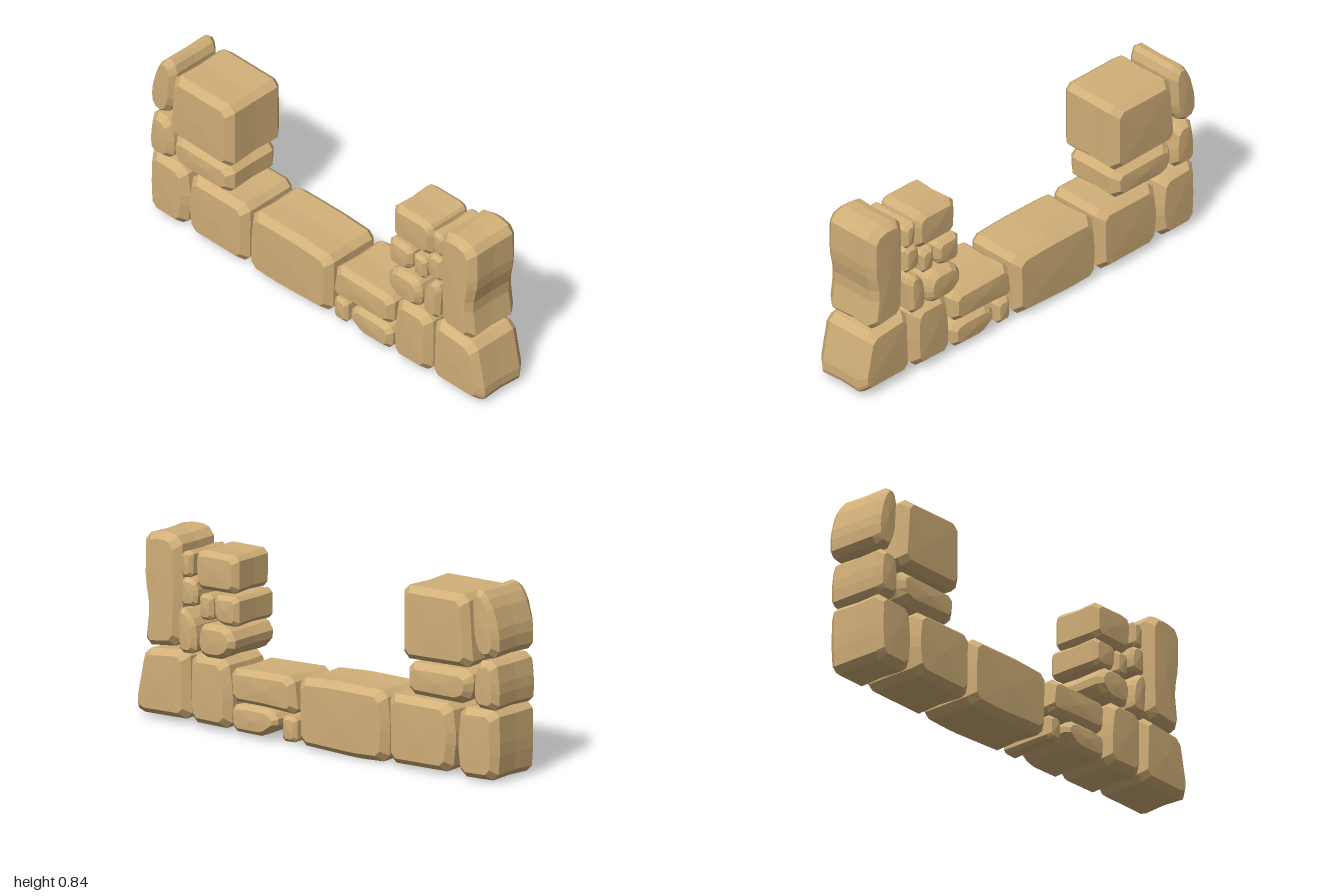
import * as THREE from 'three';

const material = new THREE.MeshStandardMaterial({ color: 0xd2b079, flatShading: true });

// Cuts every corner of a counter-clockwise outline
function cutCorners(points, cut) {
  const out = [];
  points.forEach((p, i) => {
    const n = points.length;
    for (const q of [points[(i + n - 1) % n], points[(i + 1) % n]]) {
      const len = Math.hypot(q[0] - p[0], q[1] - p[1]);
      const t = Math.min(cut / len, 0.3);
      out.push([p[0] + (q[0] - p[0]) * t, p[1] + (q[1] - p[1]) * t]);
    }
  });
  return out;
}

// A chiselled stone: the outline lofted from back to front with bevelled faces
function stone(name, outline, back, front, bevel = 0.028, waist = 0.004) {
  const ring = cutCorners(outline, bevel);
  const n = ring.length;
  const xs = ring.map(p => p[0]), ys = ring.map(p => p[1]);
  const x0 = Math.min(...xs), x1 = Math.max(...xs), y0 = Math.min(...ys), y1 = Math.max(...ys);
  const cx = (x0 + x1) / 2, cy = (y0 + y1) / 2;
  const depth = bevel * 1.4;
  const sections = [
    [back + 0.004, bevel], [back + depth, 0], [(back + front) / 2, waist],
    [front - depth, 0], [front - 0.004, bevel],
  ];
  const pos = [], index = [];
  for (const [z, inset] of sections) {
    const sx = 1 - 2 * inset / (x1 - x0), sy = 1 - 2 * inset / (y1 - y0);
    for (const [x, y] of ring) pos.push(cx + (x - cx) * sx, cy + (y - cy) * sy, z);
  }
  pos.push(cx, cy, back, cx, cy, front);
  const last = (sections.length - 1) * n, backMid = sections.length * n, frontMid = backMid + 1;
  for (let i = 0; i < n; i++) {
    const j = (i + 1) % n;
    for (let s = 0; s < last; s += n) {
      index.push(s + i, s + j, s + n + j, s + i, s + n + j, s + n + i);
    }
    index.push(backMid, j, i, frontMid, last + i, last + j);
  }
  const geometry = new THREE.BufferGeometry();
  geometry.setAttribute('position', new THREE.Float32BufferAttribute(pos, 3));
  geometry.setIndex(index);
  geometry.computeVertexNormals();
  const mesh = new THREE.Mesh(geometry, material);
  mesh.name = name;
  return mesh;
}

export function createModel() {
  const wall = new THREE.Group();
  wall.name = 'ruinedStoneWall';
  const course = (name, stones) => {
    const group = new THREE.Group();
    group.name = name;
    for (const s of stones) group.add(stone(...s));
    wall.add(group);
  };

  // Bottom course, outlines run counter-clockwise from the lower -x corner
  course('baseCourse', [
    ['baseEndStone', [[-0.985, 0.015], [-0.785, 0.01], [-0.765, 0.15], [-0.785, 0.315], [-0.99, 0.325], [-0.995, 0.15]], -0.155, 0.15],
    ['baseBlock', [[-0.745, 0.02], [-0.41, 0.015], [-0.405, 0.32], [-0.745, 0.32], [-0.765, 0.17]], -0.165, 0.155],
    ['baseLongBlock', [[-0.395, 0.01], [-0.23, 0.002], [0.085, 0.015], [0.09, 0.31], [-0.1, 0.322], [-0.385, 0.32], [-0.4, 0.17]], -0.16, 0.15],
    ['baseLintel', [[0.1, 0.14], [0.27, 0.15], [0.455, 0.15], [0.46, 0.295], [0.12, 0.305]], -0.155, 0.15, 0.024],
    ['smallFootStone', [[0.105, 0.018], [0.185, 0.015], [0.185, 0.127], [0.107, 0.127]], -0.14, 0.14, 0.014],
    ['wedgeFootStone', [[0.28, 0.018], [0.45, 0.02], [0.458, 0.13], [0.4, 0.145], [0.24, 0.145], [0.195, 0.09]], -0.15, 0.15, 0.02],
    ['baseUprightBlock', [[0.468, 0.02], [0.685, 0.022], [0.69, 0.2], [0.685, 0.32], [0.49, 0.325], [0.465, 0.18]], -0.15, 0.155],
    ['baseLeaningStone', [[0.695, 0.025], [0.98, 0.02], [0.995, 0.065], [0.945, 0.305], [0.705, 0.33]], -0.14, 0.15],
  ]);

  // Stack on the -x end
  course('rightStack', [
    ['outerLowStone', [[-0.99, 0.32], [-0.865, 0.325], [-0.855, 0.4], [-0.875, 0.53], [-0.975, 0.54], [-0.995, 0.42]], -0.15, 0.15, 0.024],
    ['outerTopStone', [[-0.995, 0.56], [-0.91, 0.54], [-0.865, 0.62], [-0.85, 0.81], [-0.895, 0.857], [-0.955, 0.79], [-0.998, 0.66]], -0.155, 0.14, 0.024],
    ['innerLowBlock', [[-0.82, 0.328], [-0.505, 0.33], [-0.5, 0.47], [-0.84, 0.48], [-0.858, 0.41]], -0.155, 0.15],
    ['innerTopBlock', [[-0.862, 0.495], [-0.485, 0.485], [-0.487, 0.81], [-0.837, 0.813]], -0.17, 0.167],
  ]);

  // Rubble and pillar on the +x end
  course('leftStack', [
    ['pillarStone', [[0.75, 0.34], [0.94, 0.32], [0.915, 0.49], [0.945, 0.62], [0.942, 0.81], [0.83, 0.835], [0.745, 0.815], [0.74, 0.55]], -0.145, 0.148],
    ['rubbleTopBlock', [[0.432, 0.615], [0.655, 0.61], [0.665, 0.75], [0.64, 0.783], [0.43, 0.783]], -0.14, 0.115, 0.022],
    ['rubbleTopChip', [[0.675, 0.655], [0.735, 0.65], [0.735, 0.76], [0.67, 0.772]], -0.14, 0.115, 0.014],
    ['rubbleMiddleStone', [[0.418, 0.475], [0.51, 0.475], [0.55, 0.5], [0.552, 0.6], [0.418, 0.607]], -0.15, 0.125, 0.018],
    ['rubbleMiddleChip', [[0.563, 0.483], [0.632, 0.48], [0.638, 0.59], [0.56, 0.595]], -0.14, 0.12, 0.014],
    ['rubbleSideChip', [[0.655, 0.53], [0.735, 0.525], [0.732, 0.65], [0.66, 0.645], [0.645, 0.59]], -0.14, 0.125, 0.014],
    ['rubbleLowStone', [[0.48, 0.328], [0.6, 0.325], [0.625, 0.37], [0.62, 0.44], [0.59, 0.475], [0.46, 0.475], [0.415, 0.4]], -0.172, 0.145, 0.022],
    ['rubbleLowChip', [[0.64, 0.33], [0.725, 0.325], [0.737, 0.5], [0.705, 0.53], [0.645, 0.47], [0.632, 0.38]], -0.168, 0.14, 0.018],
  ]);
  return wall;
}
